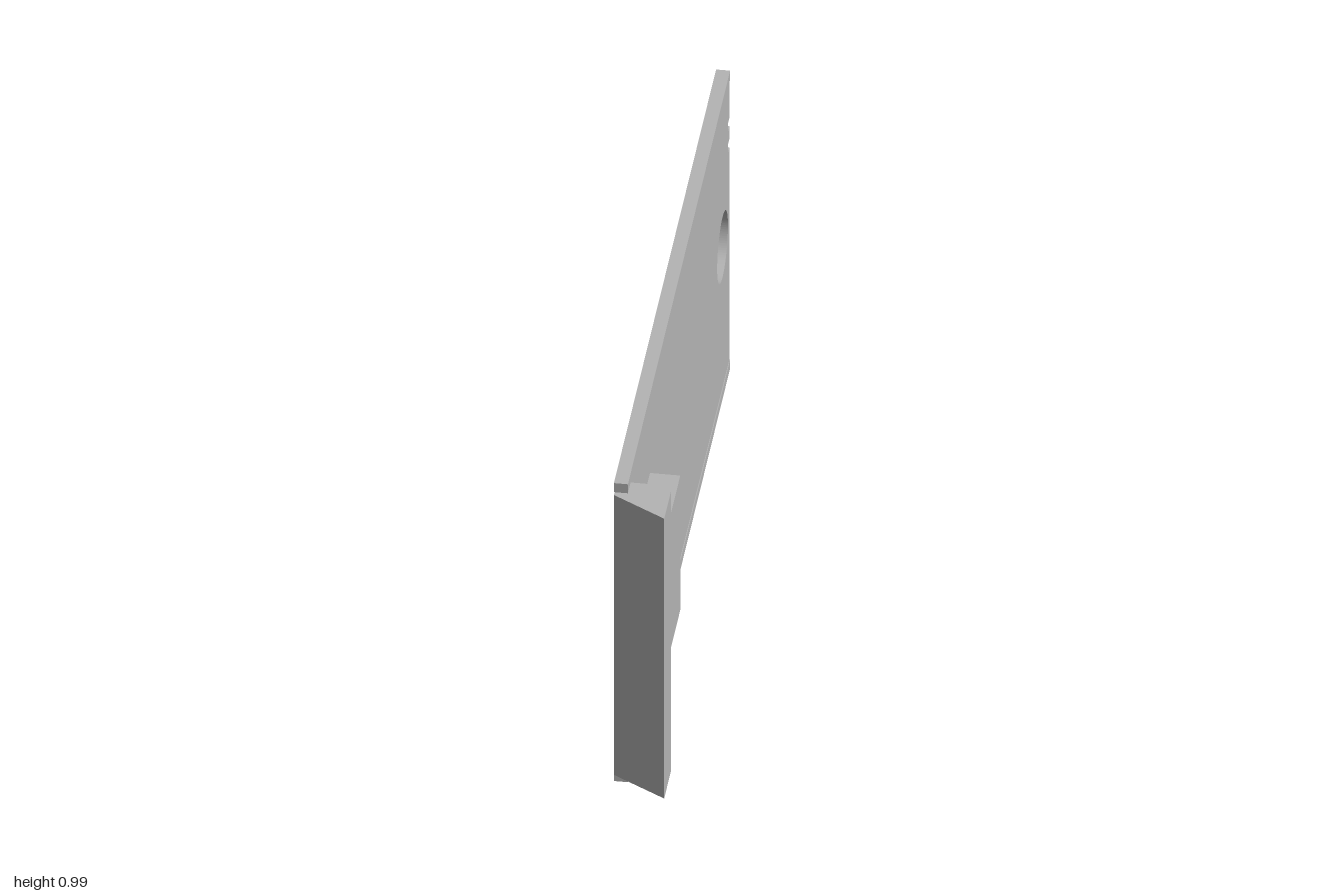
import * as THREE from 'three';

export function createModel() {
  const group = new THREE.Group();
  const grey = new THREE.MeshStandardMaterial({ color: 0xb4b4b4 });
  grey.name = 'plain grey';

  const add = (name, geometry) => {
    const mesh = new THREE.Mesh(geometry, grey);
    mesh.name = name;
    group.add(mesh);
  };
  // Box given by its lowest and highest corners
  const box = (name, [x0, y0, z0], [x1, y1, z1]) => {
    const g = new THREE.BoxGeometry(x1 - x0, y1 - y0, z1 - z0);
    add(name, g.translate((x0 + x1) / 2, (y0 + y1) / 2, (z0 + z1) / 2));
  };
  const polygon = (points) => new THREE.Shape(points.map(([x, y]) => new THREE.Vector2(x, y)));

  // Door panel: outline in (-z, y), with two latch notches and a round hole
  const panel = polygon([
    [-0.9, 0.03], [1, 0.03],
    [1, 0.735], [0.97, 0.735], [0.97, 0.763], [1, 0.763],
    [1, 0.805], [0.97, 0.805], [0.97, 0.833], [1, 0.833],
    [1, 0.96], [-0.9, 0.96],
  ]);
  const hole = new THREE.Path();
  hole.absarc(0.873, 0.495, 0.1, 0, Math.PI * 2, true);
  panel.holes.push(hole);
  add('panel', new THREE.ExtrudeGeometry(panel, { depth: 0.034, bevelEnabled: false, curveSegments: 48 })
    .rotateY(Math.PI / 2).translate(-0.074, 0, 0));

  // Slightly proud rails along both long edges
  box('bottomRail', [-0.076, 0, -1], [-0.038, 0.03, 0.9]);
  box('topRail', [-0.076, 0.96, -1], [-0.038, 0.99, 0.9]);

  // Slanted front bar: plan outline in (x, -z), extruded upwards
  const bar = polygon([
    [-0.074, -0.9], [-0.074, -0.913], [0.075, -1], [0.075, -0.87],
    [0.052, -0.85], [-0.04, -0.85], [-0.04, -0.9],
  ]);
  add('frontBar', new THREE.ExtrudeGeometry(bar, { depth: 0.93, bevelEnabled: false })
    .rotateX(-Math.PI / 2).translate(0, 0.03, 0));

  // Channel behind the bar, open at the rear
  box('channelFace', [0.024, 0.273, 0.475], [0.042, 0.72, 0.85]);
  box('channelBottom', [-0.04, 0.273, 0.475], [0.024, 0.298, 0.85]);
  box('channelTop', [-0.04, 0.695, 0.475], [0.024, 0.72, 0.85]);

  return group;
}
